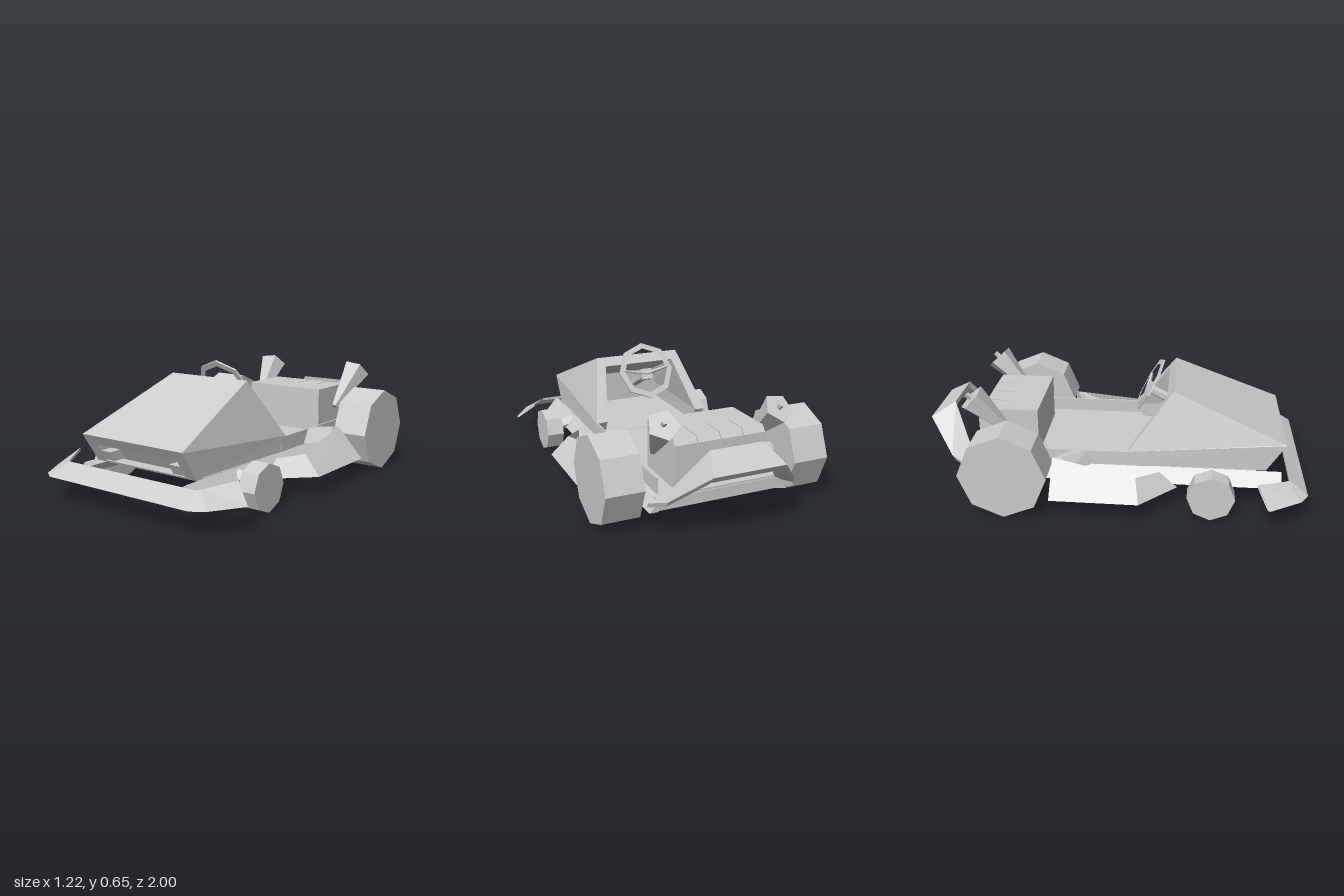
import * as THREE from 'three';

const grey = new THREE.MeshStandardMaterial({ color: 0xcccccc });
grey.name = 'light grey';

// Closed flat-shaded solid through rings of [x, y, z] points, faces turned outwards.
function loft(rings) {
  const tris = [];
  const n = rings[0].length;
  for (let r = 0; r < rings.length - 1; r++) {
    for (let i = 0; i < n; i++) {
      const j = (i + 1) % n;
      const a = rings[r][i], b = rings[r][j], c = rings[r + 1][j], d = rings[r + 1][i];
      tris.push([a, b, c], [a, c, d]);
    }
  }
  const last = rings[rings.length - 1];
  for (let i = 1; i < n - 1; i++) {
    tris.push([rings[0][0], rings[0][i + 1], rings[0][i]], [last[0], last[i], last[i + 1]]);
  }
  let volume = 0;
  for (const [a, b, c] of tris) {
    volume += new THREE.Vector3(...a).dot(new THREE.Vector3(...b).cross(new THREE.Vector3(...c)));
  }
  if (volume < 0) tris.forEach(t => t.reverse());
  const g = new THREE.BufferGeometry();
  g.setAttribute('position', new THREE.Float32BufferAttribute(tris.flat(2), 3));
  g.computeVertexNormals();
  return g;
}

// Straight faceted bar between two points.
function bar(a, b, r0, r1, sides, spin = 0) {
  const p = new THREE.Vector3(...a), q = new THREE.Vector3(...b);
  const dir = q.clone().sub(p);
  const g = new THREE.CylinderGeometry(r1, r0, dir.length(), sides).rotateY(spin);
  g.applyQuaternion(new THREE.Quaternion().setFromUnitVectors(new THREE.Vector3(0, 1, 0), dir.normalize()));
  g.translate((a[0] + b[0]) / 2, (a[1] + b[1]) / 2, (a[2] + b[2]) / 2);
  const flat = g.toNonIndexed();
  flat.computeVertexNormals();
  return flat;
}

// Box from its limits.
function box(x0, x1, y0, y1, z0, z1) {
  return new THREE.BoxGeometry(x1 - x0, y1 - y0, z1 - z0)
    .translate((x0 + x1) / 2, (y0 + y1) / 2, (z0 + z1) / 2);
}

// Left-right symmetric ring from its +x half, and rings mirrored across the middle.
const flip = ([x, y, z]) => [-x, y, z];
const symmetric = half => [...half, ...half.map(flip).reverse()];
const bothSides = half => [...half, ...half.map(r => r.map(flip)).reverse()];

export function createModel() {
  const kart = new THREE.Group();
  kart.name = 'kart';
  const add = (name, geometry, parent = kart) => {
    const mesh = new THREE.Mesh(geometry, grey);
    mesh.name = name;
    parent.add(mesh);
    return mesh;
  };

  // Sunken floor and rear cross member
  add('floor', box(-0.33, 0.33, 0.165, 0.19, -0.765, 0.74));
  add('rearCrossMember', box(-0.35, 0.35, 0.122, 0.18, -0.77, -0.73));

  // Hollow hood: slanted front recess, outer shell, rear rim and cockpit cavity
  add('hood', loft([
    symmetric([[0.26, 0.193, 0.725], [0.26, 0.28, 0.78], [0.255, 0.285, 0.783]]),
    symmetric([[0.26, 0.193, 0.795], [0.26, 0.28, 0.85], [0.255, 0.285, 0.853]]),
    symmetric([[0.32, 0.185, 0.79], [0.32, 0.332, 0.884], [0.318, 0.335, 0.886]]),
    symmetric([[0.332, 0.185, 0.12], [0.332, 0.265, 0.08], [0.245, 0.575, 0.305]]),
    symmetric([[0.27, 0.192, 0.12], [0.27, 0.268, 0.083], [0.205, 0.53, 0.272]]),
    symmetric([[0.27, 0.192, 0.66], [0.265, 0.28, 0.66], [0.25, 0.37, 0.66]]),
  ]));

  // Steering wheel on its column
  const steering = new THREE.Group();
  steering.name = 'steeringWheel';
  steering.position.set(0, 0.51, 0.17);
  steering.rotation.x = 0.49;
  kart.add(steering);
  const octagon = r => Array.from({ length: 8 }, (_, i) =>
    new THREE.Vector2(r * Math.sin(i * Math.PI / 4), r * Math.cos(i * Math.PI / 4)));
  const ring = new THREE.Shape(octagon(0.16));
  ring.holes.push(new THREE.Path(octagon(0.128)));
  add('rim', new THREE.ExtrudeGeometry(ring, { depth: 0.01, bevelEnabled: false }).translate(0, 0, -0.005), steering);
  for (const s of [-1, 1]) add('spoke', bar([0, -0.02, 0], [s * 0.135, 0.01, 0], 0.012, 0.008, 4), steering);
  add('hub', box(-0.03, 0.03, -0.05, 0.01, -0.005, 0.02), steering);
  add('column', bar([0, -0.02, 0], [0, -0.02, 0.2], 0.025, 0.025, 6), steering);

  // Engine block: plain front, four ribs at the back
  const blockRing = (x, z0) => [[x, 0.185, z0], [x, 0.435, z0], [x, 0.435, -0.7], [x, 0.405, -0.722], [x, 0.185, -0.722]];
  add('engineFront', box(-0.24, 0.24, 0.185, 0.435, -0.57, -0.405));
  add('engineCore', box(-0.235, 0.235, 0.185, 0.42, -0.71, -0.56));
  for (let i = 0; i < 4; i++) {
    const x = -0.24 + i * 0.1215;
    add('engineRib', loft([blockRing(x, -0.57), blockRing(x + 0.1155, -0.57)]));
  }

  // Front bumper strip swept round to raised wing tips
  const bumperRing = (low, high) => [low, high, [high[0], high[1] - 0.015, high[2]], [low[0] * 0.985, low[1] - 0.002, low[2] - 0.012]];
  add('frontBumper', loft(bothSides([
    bumperRing([0.612, 0.122, 0.795], [0.512, 0.208, 0.735]),
    bumperRing([0.51, 0.122, 0.955], [0.425, 0.187, 0.882]),
    bumperRing([0.445, 0.122, 0.995], [0.41, 0.185, 0.9]),
  ])));

  // Rear hoop rising behind the engine
  const hoopRing = ([a, b]) => [a, b, [b[0], b[1] - 0.03, b[2] + 0.02], [a[0], a[1] - 0.035, a[2] - 0.005]];
  add('rearHoop', loft(bothSides([
    [[0.3, 0.19, -0.715], [0.385, 0.16, -0.75]],
    [[0.275, 0.22, -0.765], [0.335, 0.2, -0.855]],
    [[0.14, 0.425, -0.873], [0.185, 0.35, -1.0]],
  ].map(hoopRing))));

  for (const s of [1, -1]) {
    const side = new THREE.Group();
    side.name = s > 0 ? 'leftSide' : 'rightSide';
    kart.add(side);
    const m = ([x, y, z]) => [s * x, y, z];
    const ringOf = pts => pts.map(m);

    // Frame rail with sloping outside, inner rib and thin cockpit wall
    const railRing = z => ringOf([[0.39, 0.12, z], [0.33, 0.188, z], [0.3, 0.17, z], [0.345, 0.12, z]]);
    add('frameRail', loft([railRing(0.87), railRing(-0.775)]), side);
    const ribRing = z => ringOf([[0.27, 0.145, z], [0.27, 0.168, z], [0.25, 0.168, z], [0.25, 0.145, z]]);
    add('floorRib', loft([ribRing(0.6), ribRing(-0.7)]), side);
    const wallRing = z => ringOf([[0.332, 0.185, z], [0.332, 0.263, z], [0.322, 0.263, z], [0.322, 0.185, z]]);
    add('cockpitWall', loft([wallRing(0.12), wallRing(-0.72)]), side);

    // Wheels and axle stubs
    add('rearWheel', bar(m([0.4, 0.225, -0.53]), m([0.593, 0.225, -0.53]), 0.225, 0.225, 8), side);
    add('rearAxle', bar(m([0.3, 0.225, -0.53]), m([0.41, 0.225, -0.53]), 0.036, 0.036, 6), side);
    add('frontWheel', bar(m([0.432, 0.12, 0.51]), m([0.526, 0.12, 0.51]), 0.12, 0.12, 8), side);
    add('frontAxle', bar(m([0.34, 0.15, 0.51]), m([0.44, 0.13, 0.51]), 0.035, 0.035, 4), side);

    // Side pod: sloping outer face, open gap to the body
    add('sidePod', loft([
      ringOf([[0.43, 0.265, -0.3], [0.58, 0.1, -0.3], [0.46, 0.1, -0.3]]),
      ringOf([[0.485, 0.2, 0.13], [0.58, 0.1, 0.15], [0.49, 0.1, 0.13]]),
      ringOf([[0.385, 0.185, 0.245], [0.385, 0.1, 0.34], [0.385, 0.1, 0.25]]),
    ]), side);
    add('podStrut', loft([
      ringOf([[0.32, 0.262, -0.2], [0.32, 0.262, -0.13], [0.32, 0.19, -0.09], [0.32, 0.19, -0.21]]),
      ringOf([[0.425, 0.262, -0.29], [0.42, 0.262, -0.25], [0.45, 0.19, -0.22], [0.45, 0.19, -0.29]]),
    ]), side);

    // Exhaust: five-sided flaring pipe with a small tip
    add('exhaust', bar(m([0.27, 0.32, -0.54]), m([0.303, 0.522, -0.735]), 0.018, 0.08, 5, Math.PI / 5), side);
    add('exhaustTip', bar(m([0.303, 0.52, -0.73]), m([0.306, 0.545, -0.755]), 0.014, 0.014, 5), side);

    // Bumper support stub inside the nose recess
    const stubRing = (y, z) => ringOf([[0.19, y, z], [0.255, y, z], [0.255, y - 0.05, z - 0.03], [0.19, y - 0.05, z - 0.03]]);
    add('bumperSupport', loft([stubRing(0.25, 0.72), stubRing(0.25, 0.83)]), side);
  }

  // Slight skew of the whole kart
  kart.rotation.y = 0.008;
  kart.position.x = -0.006;
  const model = new THREE.Group();
  model.name = 'model';
  model.add(kart);
  return model;
}
